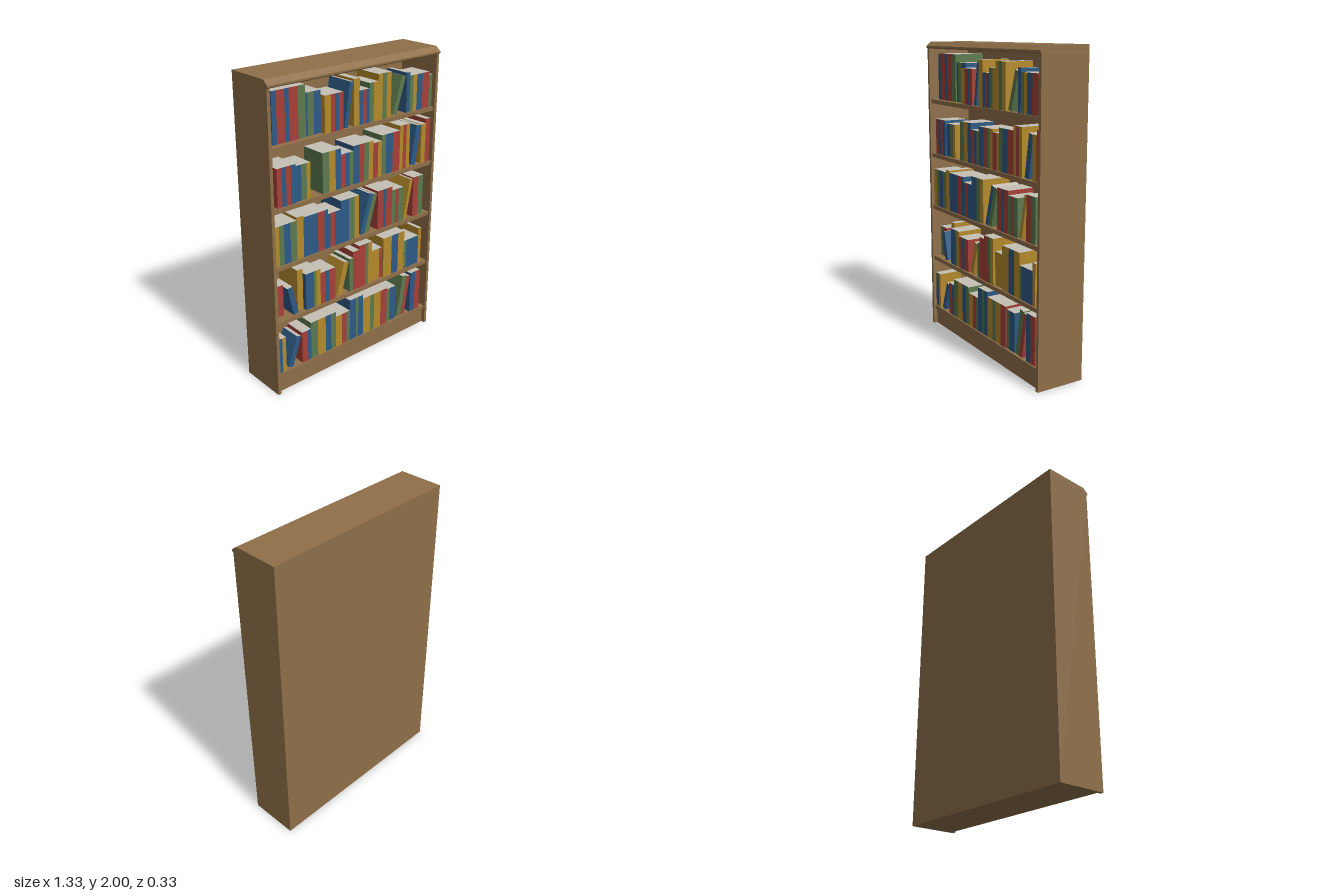
import * as THREE from 'three';

const mat = (name, color) => {
  const m = new THREE.MeshStandardMaterial({ color });
  m.name = name;
  return m;
};

export function createModel() {
  const model = new THREE.Group();
  model.name = 'bookcase';
  const wood = mat('wood', 0x8f6f49);
  const pages = mat('pages', 0xc4c0b4);
  const covers = {
    r: mat('redCover', 0xa64038),
    b: mat('blueCover', 0x2d5a85),
    g: mat('greenCover', 0x5c7a4e),
    y: mat('yellowCover', 0xb48a2c),
  };

  // Wooden board given by its extents
  const board = (name, x0, x1, y0, y1, z0, z1) => {
    const mesh = new THREE.Mesh(new THREE.BoxGeometry(x1 - x0, y1 - y0, z1 - z0), wood);
    mesh.position.set((x0 + x1) / 2, (y0 + y1) / 2, (z0 + z1) / 2);
    mesh.name = name;
    model.add(mesh);
  };

  // Case
  const W = 0.666, IN = 0.645, BACK = -0.166, TOP = 1.954;
  board('leftSide', IN, W, 0, TOP, BACK, 0.157);
  board('rightSide', -W, -IN, 0, TOP, BACK, 0.157);
  board('backPanel', -IN, IN, 0, TOP, BACK, -0.145);
  board('plinth', -IN, IN, 0, 0.108, -0.145, 0.132);

  // Top board with a bevelled cornice
  const profile = new THREE.Shape([
    [BACK, TOP], [0.157, TOP], [0.166, 1.961], [0.166, 1.972], [0.13, 2], [BACK, 2],
  ].map(([z, y]) => new THREE.Vector2(z, y)));
  const topGeo = new THREE.ExtrudeGeometry(profile, { depth: 2 * W, bevelEnabled: false });
  topGeo.translate(0, 0, -W).rotateY(-Math.PI / 2);
  const topBoard = new THREE.Mesh(topGeo, wood);
  topBoard.name = 'topBoard';
  model.add(topBoard);

  // Book with coloured spine and covers, pale page edges; origin at its lower spine corner
  const addBook = (color, x, y, w, h, front, lean = 0) => {
    const depth = Math.min(0.68 * h, front + 0.14);
    const c = covers[color];
    const geo = new THREE.BoxGeometry(w, h, depth);
    geo.translate(lean < 0 ? -w / 2 : w / 2, h / 2, -depth / 2);
    const mesh = new THREE.Mesh(geo, [c, c, pages, pages, c, pages]);
    mesh.position.set(x, y, front);
    mesh.rotation.z = lean;
    mesh.name = lean ? 'leaningBook' : 'book';
    model.add(mesh);
  };

  // Each shelf: upright sets [start x, height, colour + width in thousandths, front z]
  // and leaning books [colour, pivot x, width, height, angle]
  const shelves = [
    { y: 0.135, sets: [
      [-0.643, 0.246, 'b35 y28'], [-0.453, 0.222, 'r45 b27'],
      [-0.381, 0.265, 'g55 y65 b45 g40'], [-0.176, 0.228, 'y55 r38 g28'],
      [-0.055, 0.303, 'b55 g20 b43'], [0.063, 0.273, 'y65 g35 y60 r58'],
      [0.281, 0.257, 'g35 b55', 0.128], [0.508, 0.307, 'b46 r46'],
    ], leaning: [
      ['b', -0.525, 0.036, 0.21, -0.33], ['g', 0.425, 0.04, 0.305, -0.165],
      ['r', 0.459, 0.033, 0.293, -0.165],
    ] },
    { y: 0.506, sets: [
      [-0.643, 0.212, 'g48 r40', 0.09], [-0.458, 0.28, 'y43', 0.105],
      [-0.415, 0.25, 'b62 g20 y34'], [-0.299, 0.22, 'r40 b30 r50'],
      [-0.058, 0.235, 'g30'], [-0.028, 0.277, 'r52'],
      [0.024, 0.302, 'r52 g28 y32'], [0.136, 0.22, 'y80 r24', 0.12],
      [0.24, 0.286, 'y75 b60 y58'], [0.434, 0.21, 'g22 b60 b54'],
      [0.57, 0.262, 'y27'],
    ], leaning: [
      ['b', -0.507, 0.036, 0.2, 0.22], ['y', -0.122, 0.04, 0.225, -0.27],
    ] },
    { y: 0.877, sets: [
      [-0.643, 0.257, 'y40 g35 b48 g47'], [-0.473, 0.275, 'y50'],
      [-0.423, 0.262, 'b55 b55 r50 b28'], [-0.235, 0.23, 'b20 r35 b50'],
      [-0.13, 0.286, 'b65 g45 y38'], [0.18, 0.267, 'r50 b25 r52'],
      [0.307, 0.24, 'g30 r28 g43'], [0.5, 0.28, 'r48 g45'],
    ], leaning: [
      ['b', 0.068, 0.034, 0.27, -0.28], ['g', 0.105, 0.035, 0.262, -0.28],
      ['y', 0.445, 0.025, 0.275, -0.2],
    ] },
    { y: 1.245, sets: [
      [-0.605, 0.24, 'r35 b30 r35 b33'], [-0.472, 0.222, 'b48 g40 y28', 0.125],
      [-0.272, 0.257, 'g50 y50 b40'], [-0.132, 0.217, 'r42 b28 g30'],
      [-0.032, 0.248, 'b50 r40 g38 y36'], [0.132, 0.23, 'r42 y30'],
      [0.204, 0.265, 'g37 b60 r62'], [0.363, 0.294, 'y28 r30 y30'],
      [0.557, 0.265, 'y40'], [0.597, 0.294, 'r40'],
    ], leaning: [['b', 0.514, 0.042, 0.265, -0.16]] },
    { y: 1.615, sets: [
      [-0.605, 0.307, 'b32 r58 b30 r63 g53', 0.108], [-0.369, 0.255, 'b20 g45 b52', 0.1],
      [-0.252, 0.226, 'y45 r32 b28 r36'], [-0.03, 0.287, 'y45'],
      [0.016, 0.21, 'b28 r26 b25'], [0.095, 0.242, 'g35 y37'],
      [0.167, 0.284, 'y35 g35 y38'], [0.408, 0.255, 'b28'],
      [0.437, 0.232, 'g30 y32 b50 r60'], [0.609, 0.212, 'g28'],
    ], leaning: [
      ['b', -0.072, 0.025, 0.275, -0.15], ['g', 0.33, 0.033, 0.245, -0.3],
    ] },
  ];

  for (const { y, sets, leaning } of shelves) {
    board('shelf', -IN, IN, y - 0.027, y, -0.145, 0.145);
    for (const [start, h, list, front = 0.135] of sets) {
      let x = start;
      for (const item of list.split(' ')) {
        const w = Number(item.slice(1)) / 1000;
        addBook(item[0], x, y, w, h, front);
        x += w;
      }
    }
    for (const [color, x, w, h, angle] of leaning) addBook(color, x, y, w, h, 0.13, angle);
  }
  return model;
}
